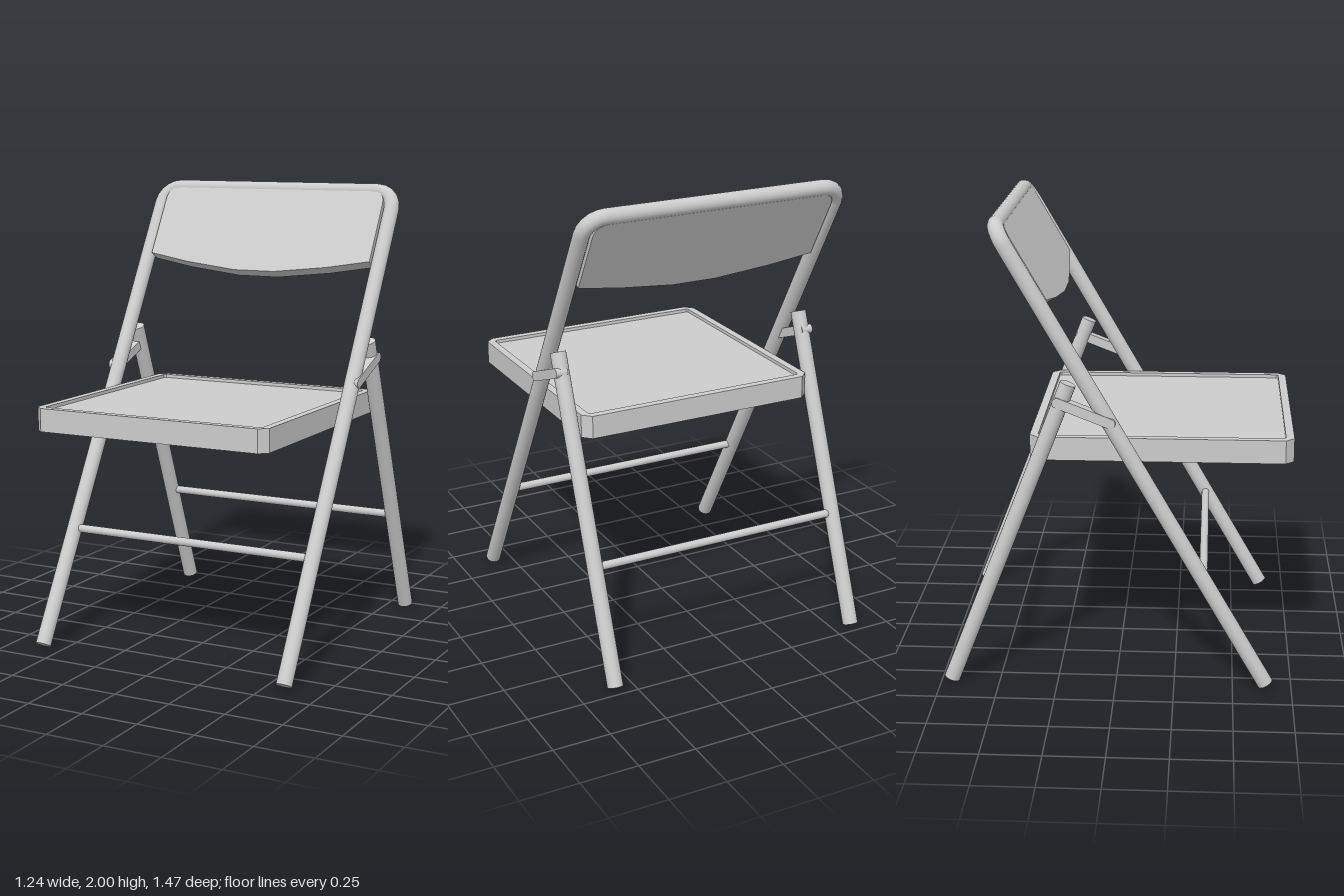
import * as THREE from 'three';

const material = new THREE.MeshStandardMaterial({ color: 0xcccccc });
const R = 0.034;        // main tube radius
const SIDE = 0.584;     // tube centre line in x
const UP = new THREE.Vector3(0, 1, 0);

function add(parent, name, geometry) {
  const mesh = new THREE.Mesh(geometry, material);
  mesh.name = name;
  parent.add(mesh);
  return mesh;
}

// Straight closed tube between two points
function rod(parent, name, a, b, radius) {
  const from = new THREE.Vector3(...a), to = new THREE.Vector3(...b);
  const dir = to.clone().sub(from);
  const mesh = add(parent, name, new THREE.CylinderGeometry(radius, radius, dir.length(), 20));
  mesh.position.copy(from).add(to).multiplyScalar(0.5);
  mesh.quaternion.setFromUnitVectors(UP, dir.normalize());
  return mesh;
}

// Rectangle outline with cut corners
function cutRect(w, d, c) {
  const x = w / 2, y = d / 2;
  return [[-x + c, -y], [x - c, -y], [x, -y + c], [x, y - c],
    [x - c, y], [-x + c, y], [-x, y - c], [-x, -y + c]].map(p => new THREE.Vector2(...p));
}

// Flat extrusion lying on the xz plane
function slab(shape, height) {
  return new THREE.ExtrudeGeometry(shape, { depth: height, bevelEnabled: false }).rotateX(-Math.PI / 2);
}

// Front legs and back hoop, with the backrest, leaning back 30 degrees
function createFrame() {
  const frame = new THREE.Group();
  frame.name = 'frontFrame';
  frame.position.set(0, 0.017, 0.64);
  frame.rotation.x = -Math.PI / 6;
  const top = 2.253, bend = 0.085;

  for (const s of [-1, 1]) {
    rod(frame, 'frontLeg', [s * SIDE, 0, 0], [s * SIDE, top - bend, 0], R);
    const corner = add(frame, 'hoopCorner', new THREE.TorusGeometry(bend, R, 20, 5, Math.PI / 2));
    corner.position.set(s * (SIDE - bend), top - bend, 0);
    if (s < 0) corner.rotation.z = Math.PI / 2;
  }
  rod(frame, 'hoopTop', [bend - SIDE, top, 0], [SIDE - bend, top, 0], R);
  rod(frame, 'frontRung', [-SIDE, 0.541, 0], [SIDE, 0.541, 0], 0.018);

  // Backrest with rounded top corners and a bowed lower edge
  const w = 0.55, t = top - 0.016, c = 0.06, thick = 0.06;
  const shape = new THREE.Shape();
  shape.moveTo(-w, top - 0.361);
  for (const [x, d] of [[-0.35, 0.398], [-0.1, 0.429], [0.1, 0.429], [0.35, 0.398], [w, 0.361]]) {
    shape.lineTo(x, top - d);
  }
  shape.lineTo(w, t - c);
  shape.quadraticCurveTo(w, t, w - c, t);
  shape.lineTo(-w + c, t);
  shape.quadraticCurveTo(-w, t, -w, t - c);
  const back = add(frame, 'backrest',
    new THREE.ExtrudeGeometry(shape, { depth: thick, bevelEnabled: false, curveSegments: 5 }));
  back.position.z = -thick / 2;
  return frame;
}

// Seat pan: solid base with a raised rim
function createSeat() {
  const seat = new THREE.Group();
  seat.name = 'seat';
  seat.position.set(0, 0.99, 0.188);
  const outline = cutRect(1.09, 1.1, 0.036);
  add(seat, 'seatPan', slab(new THREE.Shape(outline), 0.085));
  const rimShape = new THREE.Shape(outline);
  rimShape.holes.push(new THREE.Path(cutRect(1.02, 1.03, 0.008).reverse()));
  add(seat, 'seatRim', slab(rimShape, 0.015)).position.y = 0.085;
  return seat;
}

// Rear legs with their rung
function createRearFrame() {
  const rear = new THREE.Group();
  rear.name = 'rearFrame';
  for (const s of [-1, 1]) {
    rod(rear, 'rearLeg', [s * SIDE, 0.013, -0.705], [s * SIDE, 1.332, -0.193], R);
  }
  rod(rear, 'rearRung', [-SIDE, 0.485, -0.524], [SIDE, 0.485, -0.524], 0.018);
  return rear;
}

// Flat bar with round ends joining front and rear legs
function createLink(side) {
  const half = 0.117, r = 0.021, thick = 0.052;
  const shape = new THREE.Shape();
  shape.absarc(half, 0, r, -Math.PI / 2, Math.PI / 2);
  shape.absarc(-half, 0, r, Math.PI / 2, Math.PI * 1.5);
  const geometry = new THREE.ExtrudeGeometry(shape, { depth: thick, bevelEnabled: false, curveSegments: 8 });
  geometry.translate(0, 0, -thick / 2);
  geometry.rotateZ(-Math.atan2(0.085, 0.218)).rotateY(-Math.PI / 2);
  const link = new THREE.Mesh(geometry, material);
  link.name = 'hingeLink';
  link.position.set(side * 0.595, 1.2145, -0.128);
  return link;
}

export function createModel() {
  const chair = new THREE.Group();
  chair.name = 'foldingChair';
  chair.add(createFrame(), createSeat(), createRearFrame(), createLink(-1), createLink(1));
  return chair;
}
